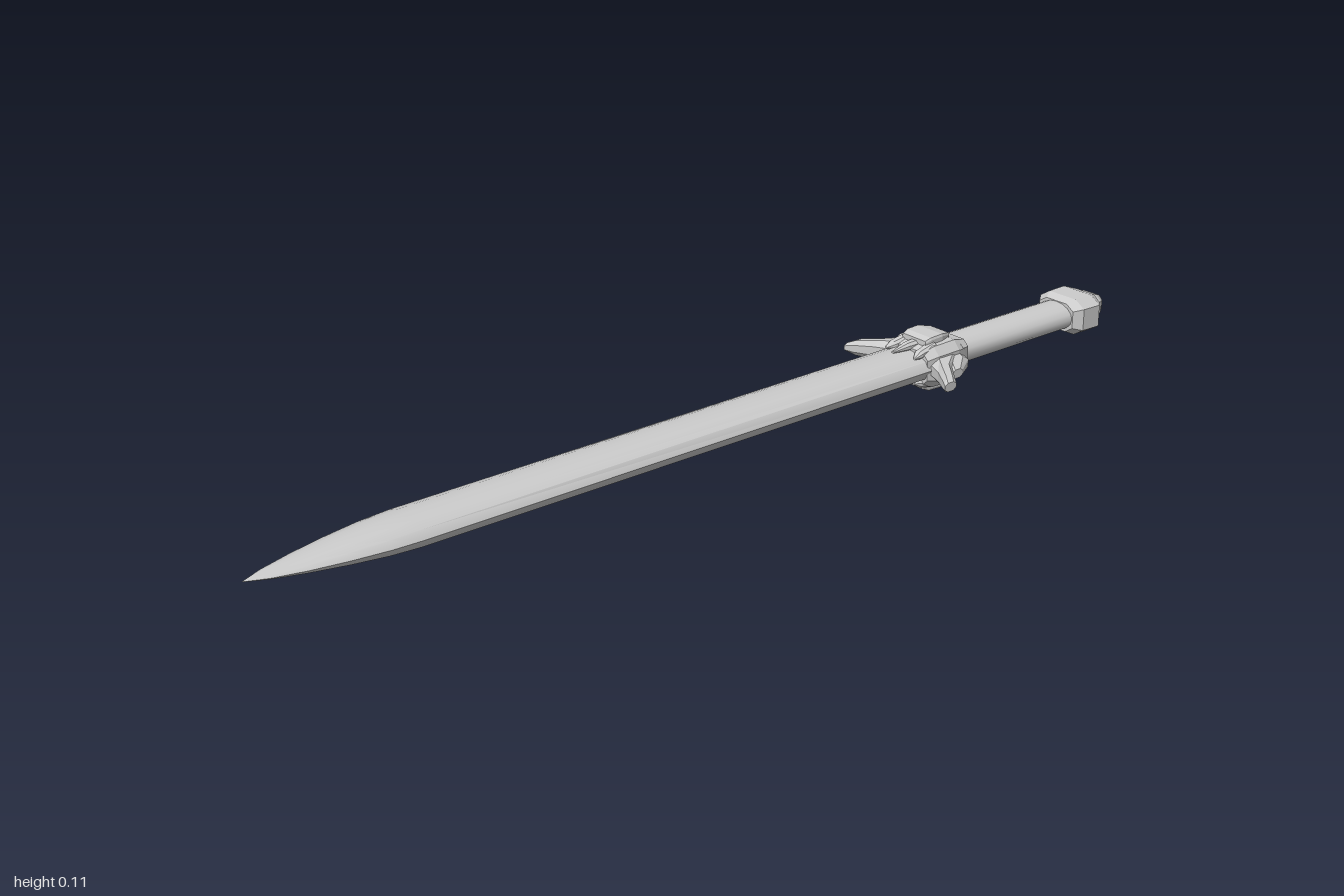
import * as THREE from 'three';
import { toCreasedNormals } from 'three/addons/utils/BufferGeometryUtils.js';

const material = new THREE.MeshStandardMaterial({ color: 0xcccccc });

// Unit cross-sections as [y, z], turning from +y towards +z
const ellipse = Array.from({ length: 16 }, (_, i) => [Math.cos(i * Math.PI / 8), Math.sin(i * Math.PI / 8)]);
const lens = [[1, 0], [0.88, 0.45], [0.58, 0.85], [0, 1], [-0.58, 0.85], [-0.88, 0.45],
  [-1, 0], [-0.88, -0.45], [-0.58, -0.85], [0, -1], [0.58, -0.85], [0.88, -0.45]];
const chamfer = (a, b) => [[1, -b], [1, b], [a, 1], [-a, 1], [-1, b], [-1, -b], [-a, -1], [a, -1]];

// Skins a cross-section along x; stations are [x, halfY, halfZ, centreY, centreZ]
function loft(name, outline, stations, crease = 0.1) {
  const rings = stations.map(([x, hy, hz, cy = 0, cz = 0]) =>
    outline.map(([y, z]) => [x, cy + y * hy, cz + z * hz]));
  const n = outline.length, last = rings.length - 1, pos = [];
  const tri = (...corners) => corners.forEach((c) => pos.push(...c));
  for (let i = 0; i < last; i++) {
    for (let j = 0; j < n; j++) {
      const k = (j + 1) % n;
      tri(rings[i][j], rings[i][k], rings[i + 1][k]);
      tri(rings[i][j], rings[i + 1][k], rings[i + 1][j]);
    }
  }
  for (let j = 1; j < n - 1; j++) {
    tri(rings[0][0], rings[0][j + 1], rings[0][j]);
    tri(rings[last][0], rings[last][j], rings[last][j + 1]);
  }
  const geometry = new THREE.BufferGeometry();
  geometry.setAttribute('position', new THREE.Float32BufferAttribute(pos, 3));
  const mesh = new THREE.Mesh(toCreasedNormals(geometry, crease), material);
  mesh.name = name;
  return mesh;
}

// Skins outwards along +z; stations are [z, xMin, xMax, halfY]
function sideLoft(name, stations) {
  const mesh = loft(name, chamfer(0.45, 0.5),
    stations.map(([z, a, b, hy]) => [z, hy, (b - a) / 2, 0, -(a + b) / 2]));
  mesh.rotation.y = -Math.PI / 2;
  return mesh;
}

export function createModel() {
  const model = new THREE.Group();
  model.name = 'sword';
  const sword = new THREE.Group();
  sword.name = 'swordParts';
  sword.position.y = 0.056;
  model.add(sword);

  // Blade with a long curved point
  sword.add(loft('blade', lens, [
    [-1, 0.0005, 0.0005], [-0.96, 0.005, 0.018], [-0.9, 0.011, 0.034], [-0.83, 0.018, 0.047],
    [-0.76, 0.024, 0.056], [-0.7, 0.027, 0.059], [0.48, 0.031, 0.06],
  ], 0.75));

  // Oval grip
  sword.add(loft('grip', ellipse, [[0.54, 0.029, 0.044], [0.89, 0.029, 0.044]], 0.7));

  // Faceted pommel and end knob
  sword.add(loft('pommel', chamfer(0.6, 0.6), [
    [0.872, 0.03, 0.046], [0.89, 0.038, 0.06], [0.935, 0.038, 0.062], [0.96, 0.03, 0.04],
  ]));
  sword.add(loft('pommelKnob', chamfer(0.5, 0.55), [
    [0.95, 0.027, 0.036], [0.975, 0.025, 0.031], [0.992, 0.018, 0.02], [1, 0.012, 0.013],
  ]));

  // Guard block and the collar behind it
  sword.add(loft('guardBlock', chamfer(0.6, 0.75), [
    [0.445, 0.034, 0.056], [0.47, 0.042, 0.062], [0.525, 0.043, 0.062], [0.548, 0.036, 0.056],
  ]));
  sword.add(loft('guardCollar', chamfer(0.65, 0.75), [[0.54, 0.038, 0.058], [0.56, 0.034, 0.052]]));

  // Each half turn about the blade axis repeats the wing, spur and face ornament
  for (let half = 0; half < 2; half++) {
    const side = new THREE.Group();
    side.name = half ? 'guardRightAndUnderside' : 'guardLeftAndTop';
    side.rotation.x = half * Math.PI;
    sword.add(side);

    // Wing swept towards the point
    side.add(sideLoft('guardWing', [
      [0.03, 0.46, 0.54, 0.026], [0.062, 0.452, 0.525, 0.022], [0.09, 0.44, 0.478, 0.02],
      [0.125, 0.418, 0.45, 0.016], [0.141, 0.408, 0.438, 0.009],
    ]));
    // Short spur behind the wing
    side.add(sideLoft('guardSpur', [
      [0.045, 0.49, 0.548, 0.02], [0.075, 0.475, 0.538, 0.017], [0.102, 0.468, 0.495, 0.009],
    ]));

    // Raised crest across the flat of the guard
    side.add(loft('guardCrest', chamfer(0.5, 0.94), [
      [0.462, 0.008, 0.032, 0.042], [0.475, 0.009, 0.035, 0.046],
      [0.505, 0.009, 0.035, 0.047], [0.532, 0.008, 0.026, 0.042],
    ]));
    // Three prongs lying along the blade
    for (const z of [-0.036, 0, 0.036]) {
      side.add(loft('guardProng', chamfer(0.4, 0.5), [
        [z ? 0.425 : 0.405, 0.002, 0.003, z ? 0.026 : 0.033, z * 1.1],
        [0.44, 0.008, 0.01, z ? 0.03 : 0.036, z], [0.48, 0.009, 0.013, 0.037, z * 0.9],
      ]));
    }
  }
  return model;
}
